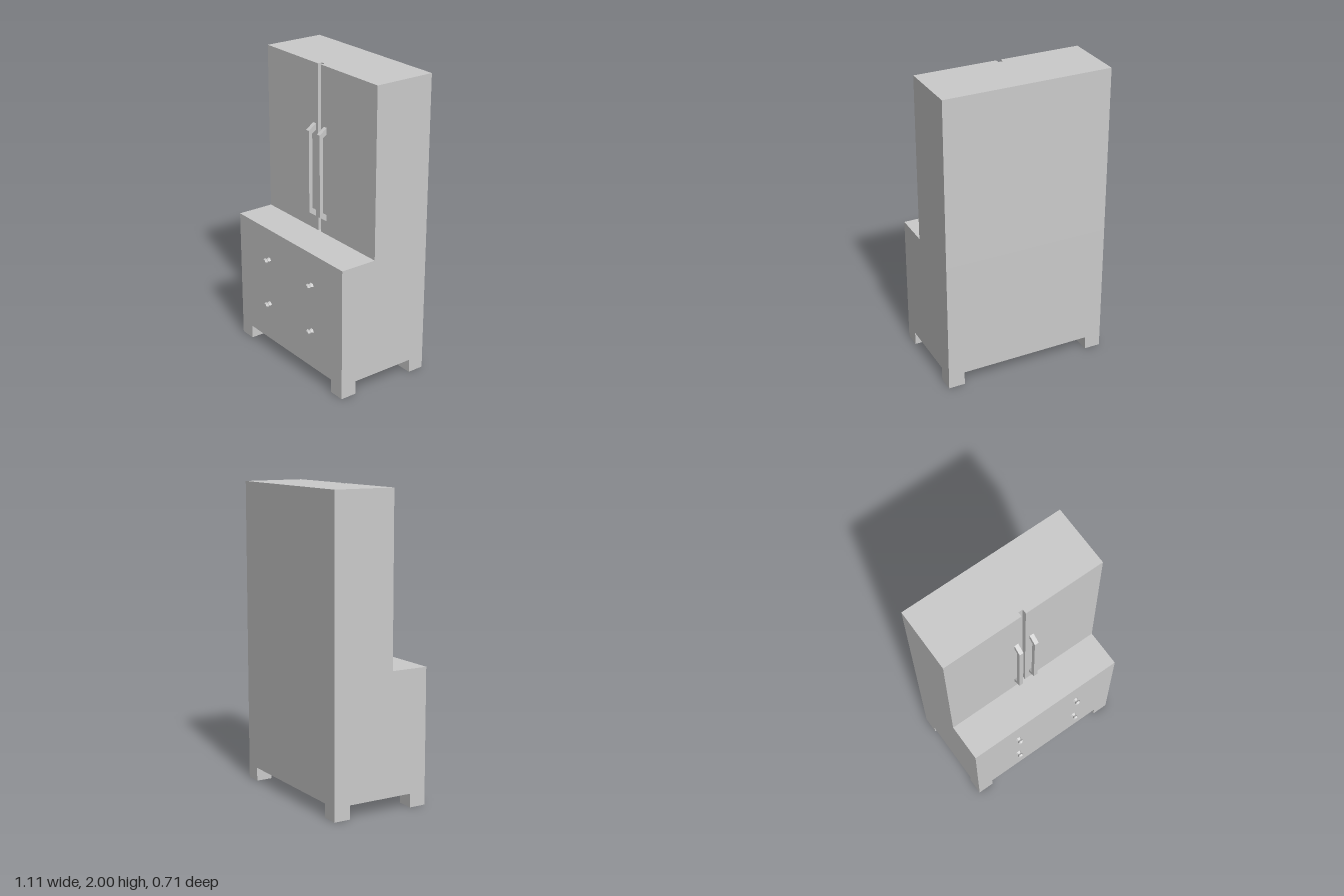
import * as THREE from 'three';

const material = new THREE.MeshStandardMaterial({ color: 0xcccccc, flatShading: true });
const W = 0.555, BACK = -0.355, FRONT = 0.31, STEP = 0.06;
const LEG_TOP = 0.09, BASE_TOP = 0.89, TOP = 2;

function add(group, name, geometry, x = 0, y = 0, z = 0) {
  const mesh = new THREE.Mesh(geometry, material);
  mesh.name = name;
  mesh.position.set(x, y, z);
  group.add(mesh);
  return mesh;
}

function extrude(points, depth) {
  const shape = new THREE.Shape(points.map(([a, b]) => new THREE.Vector2(a, b)));
  return new THREE.ExtrudeGeometry(shape, { depth, bevelEnabled: false });
}

export function createModel() {
  const model = new THREE.Group();
  model.name = 'cabinet';

  // Deep lower chest
  add(model, 'lowerChest', new THREE.BoxGeometry(2 * W, BASE_TOP - LEG_TOP, FRONT - BACK),
    0, (BASE_TOP + LEG_TOP) / 2, (FRONT + BACK) / 2);

  // Upper cupboard: plan outline (x, -z) with the groove between the doors
  const plan = [
    [-W, -STEP], [-0.019, -STEP], [-0.019, -0.03], [0.011, -0.03],
    [0.011, -STEP], [W, -STEP], [W, -BACK], [-W, -BACK],
  ];
  add(model, 'upperCupboard', extrude(plan, TOP - BASE_TOP).rotateX(-Math.PI / 2), 0, BASE_TOP, 0);

  // Four square corner legs
  const leg = 0.11;
  for (const side of [-1, 1]) {
    for (const [name, z] of [['frontLeg', FRONT - leg / 2], ['backLeg', BACK + leg / 2]]) {
      add(model, name, new THREE.BoxGeometry(leg, LEG_TOP, leg), side * (W - leg / 2), LEG_TOP / 2, z);
    }
  }

  // Door handles: side profile (z, y) with slanted ends
  const grip = [
    [STEP, 0.983], [0.114, 1.02], [0.114, 1.57], [STEP, 1.61],
    [STEP, 1.565], [0.088, 1.547], [0.088, 1.04], [STEP, 1.025],
  ];
  const thickness = 0.028;
  for (const side of [-1, 1]) {
    add(model, 'doorHandle', extrude(grip, thickness).rotateY(-Math.PI / 2), side * 0.056 + thickness / 2);
  }

  // Six-sided drawer knobs
  const profile = [[0.02, 0], [0.013, 0.016], [0.022, 0.028], [0.013, 0.04], [0, 0.04]]
    .map(([r, h]) => new THREE.Vector2(r, h));
  const knob = new THREE.LatheGeometry(profile, 6, Math.PI / 6).rotateX(Math.PI / 2);
  for (const x of [-0.22, 0.245]) {
    for (const y of [0.35, 0.672]) add(model, 'drawerKnob', knob, x, y, FRONT);
  }

  return model;
}
